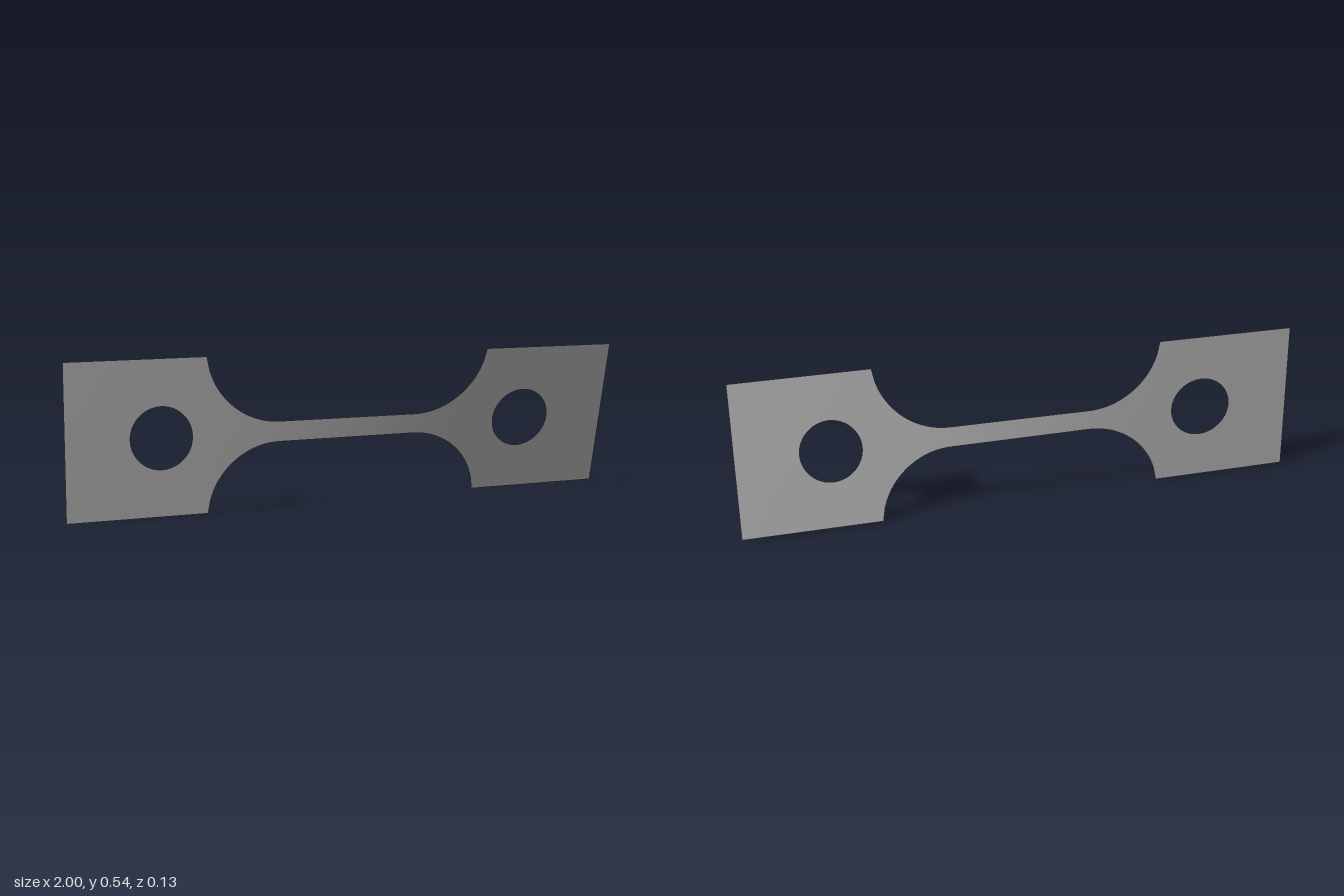
import * as THREE from 'three';

const H = 0.271;                       // half height of the grips, also the twist axis height
const NECK = 0.036, FILLET = 0.26, NECK_END = 0.25, GRIP_START = 0.509;
const HOLE_X = 0.67, HOLE_R = 0.108;
const TWIST = THREE.MathUtils.degToRad(14);

// half height of the flat outline at x
function halfHeight(x) {
  const d = Math.abs(x) - NECK_END;
  if (d <= 0) return NECK;
  if (Math.abs(x) >= GRIP_START) return H;
  return NECK + FILLET - Math.sqrt(FILLET * FILLET - d * d);
}

// twist builds up from the left end, faster where the strip is narrow
const STEPS = 800, table = [0];
for (let i = 0; i < STEPS; i++) {
  table.push(table[i] + 1 / halfHeight(-1 + (2 * (i + 0.5)) / STEPS));
}
function twistAt(x) {
  const f = THREE.MathUtils.clamp((x + 1) / 2, 0, 1) * STEPS;
  const i = Math.min(Math.floor(f), STEPS - 1);
  return (TWIST * THREE.MathUtils.lerp(table[i], table[i + 1], f - i)) / table[STEPS];
}

// twisted sheet from columns [x, low, high]
function sheet(columns) {
  const rows = 4, pos = [], index = [];
  columns.forEach(([x, low, high], c) => {
    const a = twistAt(x);
    for (let r = 0; r <= rows; r++) {
      const y = THREE.MathUtils.lerp(low, high, r / rows);
      pos.push(x, H + y * Math.cos(a), y * Math.sin(a));
      if (c && r) {
        const k = c * (rows + 1) + r, p = k - rows - 1;
        index.push(p - 1, k - 1, k, p - 1, k, p);
      }
    }
  });
  const geometry = new THREE.BufferGeometry();
  geometry.setAttribute('position', new THREE.Float32BufferAttribute(pos, 3));
  geometry.setIndex(index);
  geometry.computeVertexNormals();
  return geometry;
}

function span(from, to, count) {
  return Array.from({ length: count + 1 }, (_, i) => {
    const x = from + ((to - from) * i) / count, h = halfHeight(x);
    return [x, -h, h];
  });
}

export function createModel() {
  const group = new THREE.Group();
  const metal = new THREE.MeshStandardMaterial({ color: 0xb0b0b0, side: THREE.DoubleSide });
  metal.name = 'grey metal';
  const add = (name, columns) => {
    const mesh = new THREE.Mesh(sheet(columns), metal);
    mesh.name = name;
    group.add(mesh);
  };

  // narrow gauge section and the curved shoulders
  add('neck', span(-NECK_END, NECK_END, 30));
  add('rightShoulder', span(-GRIP_START, -NECK_END, 28));
  add('leftShoulder', span(NECK_END, GRIP_START, 28));

  // grips, each split around its round hole
  for (const [side, s] of [['right', -1], ['left', 1]]) {
    const cx = s * HOLE_X;
    const start = s < 0 ? -1 : GRIP_START, end = s < 0 ? -GRIP_START : 1;
    add(side + 'GripInnerA', span(start, cx - HOLE_R, 6));
    add(side + 'GripInnerB', span(cx + HOLE_R, end, 6));
    const upper = [], lower = [];
    for (let i = 0; i <= 32; i++) {
      const t = (Math.PI * i) / 32;
      const x = cx - HOLE_R * Math.cos(t), y = HOLE_R * Math.sin(t);
      upper.push([x, y, H]);
      lower.push([x, -H, -y]);
    }
    add(side + 'GripAboveHole', upper);
    add(side + 'GripBelowHole', lower);
  }
  return group;
}
